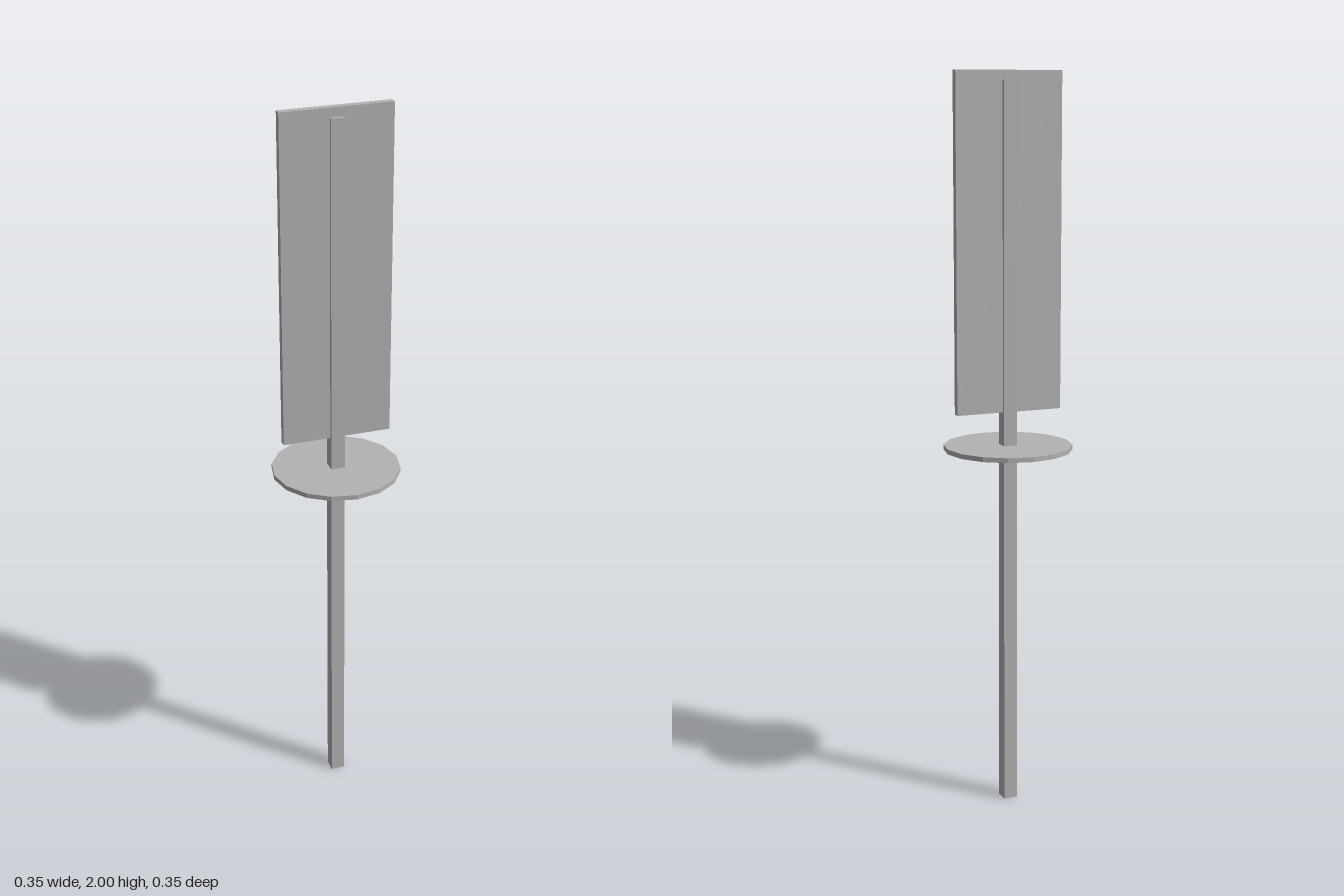
import * as THREE from 'three';

export function createModel() {
  const model = new THREE.Group();
  const grey = new THREE.MeshStandardMaterial({ color: 0xb2b2b2, flatShading: true });
  grey.name = 'grey';

  // Adds a part spanning the heights bottom to top
  const add = (name, geometry, bottom, top) => {
    const mesh = new THREE.Mesh(geometry, grey);
    mesh.name = name;
    mesh.position.y = (bottom + top) / 2;
    model.add(mesh);
  };

  // Square post running the full length
  add('post', new THREE.BoxGeometry(0.038, 1.975, 0.038), 0, 1.975);
  // Thin sixteen-sided guard disc at mid height
  add('guardDisc', new THREE.CylinderGeometry(0.174, 0.174, 0.013, 16), 1.0, 1.013);
  // Flat rectangular panel around the upper post
  add('panel', new THREE.BoxGeometry(0.298, 0.896, 0.02), 1.104, 2);

  return model;
}
